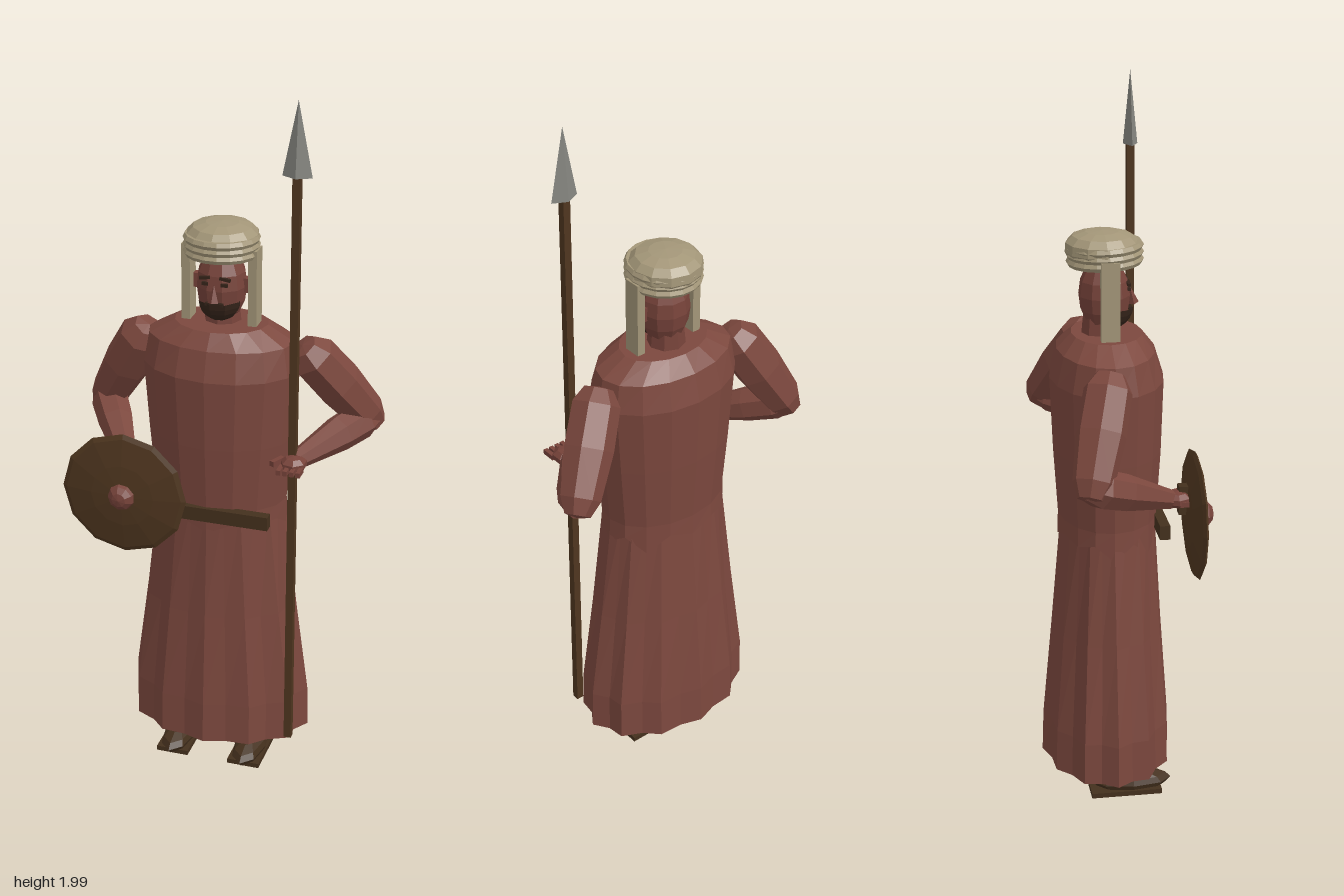
import * as THREE from 'three';

const V = (x, y, z) => new THREE.Vector3(x, y, z);
const material = (name, color, side = THREE.FrontSide) =>
  new THREE.MeshStandardMaterial({ name, color, side, flatShading: true });

const CX = -0.013; // body axis

// Skin a stack of closed rings, listed bottom to top
function loft(rings, capTop = false) {
  const pos = [];
  const tri = (...p) => p.forEach((v) => pos.push(v.x, v.y, v.z));
  for (let i = 0; i < rings.length - 1; i++) {
    const lo = rings[i], hi = rings[i + 1], n = lo.length;
    for (let j = 0; j < n; j++) {
      const k = (j + 1) % n;
      tri(lo[j], lo[k], hi[k]);
      tri(lo[j], hi[k], hi[j]);
    }
  }
  if (capTop) {
    const top = rings[rings.length - 1];
    for (let j = 1; j < top.length - 1; j++) tri(top[0], top[j], top[j + 1]);
  }
  const g = new THREE.BufferGeometry();
  g.setAttribute('position', new THREE.Float32BufferAttribute(pos, 3));
  g.computeVertexNormals();
  return g;
}

// Robe cross-section: half width, front z and back z, with optional pleats and ragged edge
function robeRing(n, y, w, front, back, pleat = 0, ragged = 0) {
  const mid = -0.04;
  return Array.from({ length: n }, (_, i) => {
    const a = (i / n) * Math.PI * 2, odd = i % 2;
    const s = 1 - pleat * odd;
    const depth = Math.cos(a) > 0 ? front - mid : mid - back;
    return V(CX + Math.sin(a) * w * s, y - ragged * (odd ? 0 : 0.6 + 0.4 * Math.sin(i * 2.3)),
      mid + Math.cos(a) * depth * s);
  });
}

export function createModel() {
  const model = new THREE.Group();
  model.name = 'spearman';
  const robe = material('robe red', 0x7c483e, THREE.DoubleSide);
  const skin = material('skin', 0x77433a);
  const linen = material('linen', 0xa39678);
  const wood = material('wood', 0x4f361f);
  const leather = material('leather', 0x44301d);
  const beardMat = material('beard', 0x35241a);
  const steel = material('steel', 0x868680);

  const add = (name, geo, mat, x = 0, y = 0, z = 0, parent = model) => {
    const m = new THREE.Mesh(geo, mat);
    m.name = name;
    m.position.set(x, y, z);
    parent.add(m);
    return m;
  };
  const box = (name, w, h, d, mat, x, y, z, parent) =>
    add(name, new THREE.BoxGeometry(w, h, d), mat, x, y, z, parent);
  // Faceted limb between two points; profile is [fraction, radius] pairs
  const limb = (name, a, b, profile, mat, sides = 7) => {
    const len = a.distanceTo(b);
    const pts = profile.map(([t, r]) => new THREE.Vector2(r, t * len));
    const m = add(name, new THREE.LatheGeometry(pts, sides), mat, a.x, a.y, a.z);
    m.quaternion.setFromUnitVectors(V(0, 1, 0), b.clone().sub(a).normalize());
    return m;
  };

  // Pleated skirt and tunic with a ragged lower edge
  add('skirt', loft([
    robeRing(24, 0.10, 0.262, 0.142, -0.222, 0.08),
    robeRing(24, 0.22, 0.260, 0.138, -0.218, 0.08),
    robeRing(24, 0.50, 0.222, 0.118, -0.192, 0.06),
    robeRing(24, 0.84, 0.182, 0.098, -0.162, 0.02),
  ]), robe);
  add('tunic', loft([
    robeRing(16, 0.79, 0.190, 0.102, -0.172, 0, 0.05),
    robeRing(16, 0.83, 0.188, 0.102, -0.170),
    robeRing(16, 1.02, 0.205, 0.114, -0.182),
    robeRing(16, 1.22, 0.220, 0.120, -0.190),
    robeRing(16, 1.30, 0.205, 0.095, -0.170),
    robeRing(16, 1.342, 0.130, 0.062, -0.130),
  ], true), robe);
  box('belt', 0.355, 0.04, 0.028, leather, CX, 0.82, 0.099);

  // Neck, head and face
  add('neck', new THREE.CylinderGeometry(0.045, 0.055, 0.1, 8), skin, CX, 1.36, -0.05);
  const head = new THREE.Group();
  head.name = 'head';
  head.position.set(CX, 1.445, -0.04);
  model.add(head);
  add('skull', new THREE.SphereGeometry(1, 10, 8), skin, 0, 0, 0, head).scale.set(0.07, 0.105, 0.07);
  const nose = add('nose', new THREE.ConeGeometry(0.015, 0.05, 4), skin, 0, -0.003, 0.074, head);
  nose.rotation.x = -0.2;
  add('beard', new THREE.SphereGeometry(1, 9, 6, 0, Math.PI * 2, Math.PI * 0.52, Math.PI * 0.48),
    beardMat, 0, -0.03, 0.013, head).scale.set(0.062, 0.068, 0.066);
  box('moustache', 0.05, 0.008, 0.009, beardMat, 0, -0.035, 0.068, head);
  for (const s of [-1, 1]) {
    box('eye', 0.018, 0.009, 0.008, beardMat, s * 0.027, 0.02, 0.063, head);
    box('brow', 0.03, 0.008, 0.009, beardMat, s * 0.028, 0.036, 0.061, head).rotation.z = -s * 0.15;
    box('ear', 0.014, 0.04, 0.022, skin, s * 0.07, 0.005, 0, head);
    box('headclothStrip', 0.024, 0.215, 0.05, linen, s * 0.093, 0.003, 0.003, head);
  }

  // Wound turban: dome over stacked rolls
  const turban = new THREE.Group();
  turban.name = 'turban';
  turban.position.set(CX, 1.545, -0.045);
  model.add(turban);
  const domeProfile = [[0.001, -0.005], [0.085, -0.005], [0.1, 0.02], [0.098, 0.045], [0.08, 0.063], [0.045, 0.073], [0, 0.076]];
  add('turbanDome', new THREE.LatheGeometry(domeProfile.map(([r, y]) => new THREE.Vector2(r, y)), 12), linen, 0, 0, 0, turban);
  for (let i = 0; i < 3; i++) {
    const roll = add('turbanRoll', new THREE.TorusGeometry(0.092, 0.012, 6, 18), linen, 0, i * 0.019 - 0.004, 0.007, turban);
    roll.rotation.x = Math.PI / 2 - 0.04;
  }

  // Arms: loose sleeves and tapered forearms
  const sleeve = [[-0.18, 0], [-0.16, 0.04], [0, 0.066], [0.45, 0.068], [0.95, 0.056], [1.12, 0.036], [1.15, 0]];
  const forearm = [[-0.1, 0], [-0.08, 0.036], [0.1, 0.053], [0.4, 0.05], [0.9, 0.03], [1, 0.026], [1.01, 0]];
  const arms = [
    ['left', V(0.235, 1.255, -0.065), V(0.37, 1.055, -0.165), V(0.228, 1.002, 0.065)],
    ['right', V(-0.25, 1.255, -0.065), V(-0.378, 1.035, -0.125), V(-0.235, 0.935, 0.105)],
  ];
  for (const [side, shoulder, elbow, wrist] of arms) {
    limb(side + 'UpperArm', shoulder, elbow, sleeve, robe);
    limb(side + 'Forearm', elbow, wrist, forearm, robe);
    // Palm, thumb and four fingers
    const s = side === 'left' ? 1 : -1;
    const hand = new THREE.Group();
    hand.name = side + 'Hand';
    hand.position.copy(wrist);
    model.add(hand);
    add('palm', new THREE.SphereGeometry(1, 7, 5), skin, 0, 0, 0.018, hand).scale.set(0.038, 0.023, 0.04);
    for (let i = 0; i < 4; i++)
      box('finger', 0.012, 0.014, 0.04, skin, (i - 1.5) * 0.018, -0.006, s > 0 ? 0.055 : 0.04, hand);
    box('thumb', 0.014, 0.015, 0.045, skin, -s * 0.043, 0.004, 0.027, hand).rotation.y = -s * 0.45;
  }

  // Spear with a flattened four-sided head
  box('spearShaft', 0.021, 1.7, 0.021, wood, 0.221, 0.97, 0.067);
  const tip = new THREE.ConeGeometry(1, 0.2, 4);
  add('spearHead', tip, steel, 0.221, 1.9, 0.067).scale.set(0.04, 1, 0.02);

  // Lens-shaped round shield with a boss
  const disc = [[0, -0.027], [0.09, -0.02], [0.165, -0.007], [0.178, 0], [0.165, 0.007], [0.09, 0.02], [0, 0.027]];
  const shield = new THREE.Group();
  shield.name = 'shield';
  shield.position.set(-0.225, 0.885, 0.172);
  shield.rotation.x = Math.PI / 2;
  model.add(shield);
  add('shieldDisc', new THREE.LatheGeometry(disc.map(([r, y]) => new THREE.Vector2(r, y)), 12), wood, 0, 0, 0, shield);
  add('shieldBoss', new THREE.SphereGeometry(0.04, 9, 6), skin, 0, 0.018, 0, shield).scale.y = 0.85;
  box('shieldGrip', 0.03, 0.03, 0.08, leather, 0, -0.03, -0.045, shield);

  // Legs, shoes and soles
  for (const s of [-1, 1]) {
    const foot = new THREE.Group();
    foot.name = s > 0 ? 'leftFoot' : 'rightFoot';
    foot.position.set(CX + s * 0.108, 0, 0);
    model.add(foot);
    add('leg', new THREE.CylinderGeometry(0.06, 0.04, 0.5, 7), skin, 0, 0.3, -0.04, foot);
    const sole = box('sole', 0.075, 0.014, 0.2, leather, 0, 0.018, 0.0, foot);
    sole.scale.x = 1.25;
    add('shoe', new THREE.SphereGeometry(1, 8, 6), leather, 0, 0.038, 0.02, foot).scale.set(0.046, 0.032, 0.112);
    box('shoeStrap', 0.076, 0.016, 0.05, wood, 0, 0.066, -0.015, foot);
  }
  return model;
}
